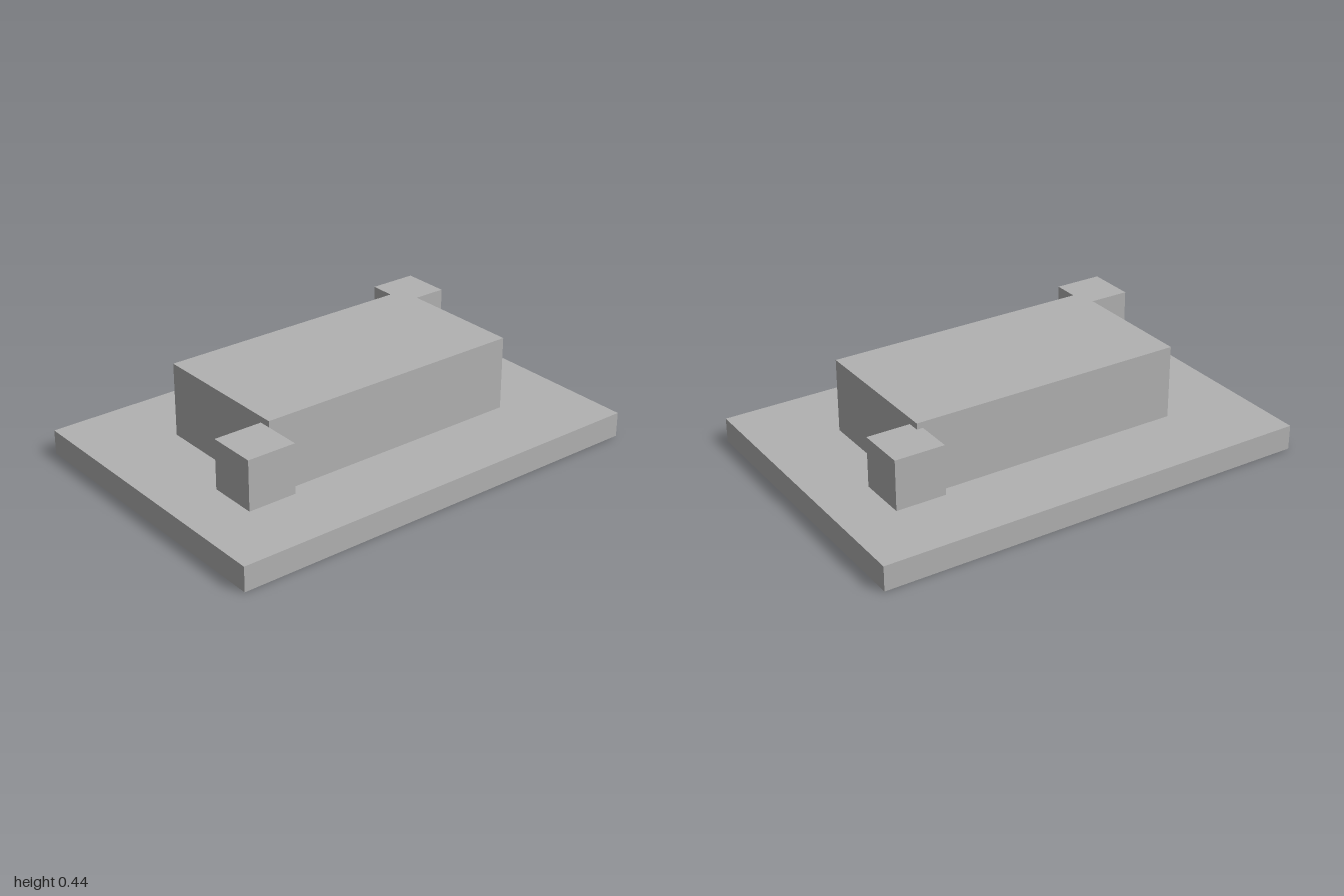
import * as THREE from 'three';

export function createModel() {
  const model = new THREE.Group();
  const grey = new THREE.MeshStandardMaterial({ color: 0xb2b2b2 });
  grey.name = 'grey';

  // Box given by its ranges along each axis
  function addBox(name, [x0, x1], [y0, y1], [z0, z1]) {
    const mesh = new THREE.Mesh(new THREE.BoxGeometry(x1 - x0, y1 - y0, z1 - z0), grey);
    mesh.position.set((x0 + x1) / 2, (y0 + y1) / 2, (z0 + z1) / 2);
    mesh.name = name;
    model.add(mesh);
  }

  // Flat base slab
  addBox('base', [-1, 1], [0, 0.112], [-0.693, 0.693]);
  // Main block standing on the slab
  addBox('mainBlock', [-0.613, 0.637], [0.112, 0.445], [-0.335, 0.333]);
  // Small cubes attached at two opposite corners, clear of the slab
  addBox('rightCube', [-0.833, -0.613], [0.197, 0.418], [0.28, 0.5]);
  addBox('leftCube', [0.61, 0.831], [0.197, 0.418], [-0.5, -0.28]);

  return model;
}
